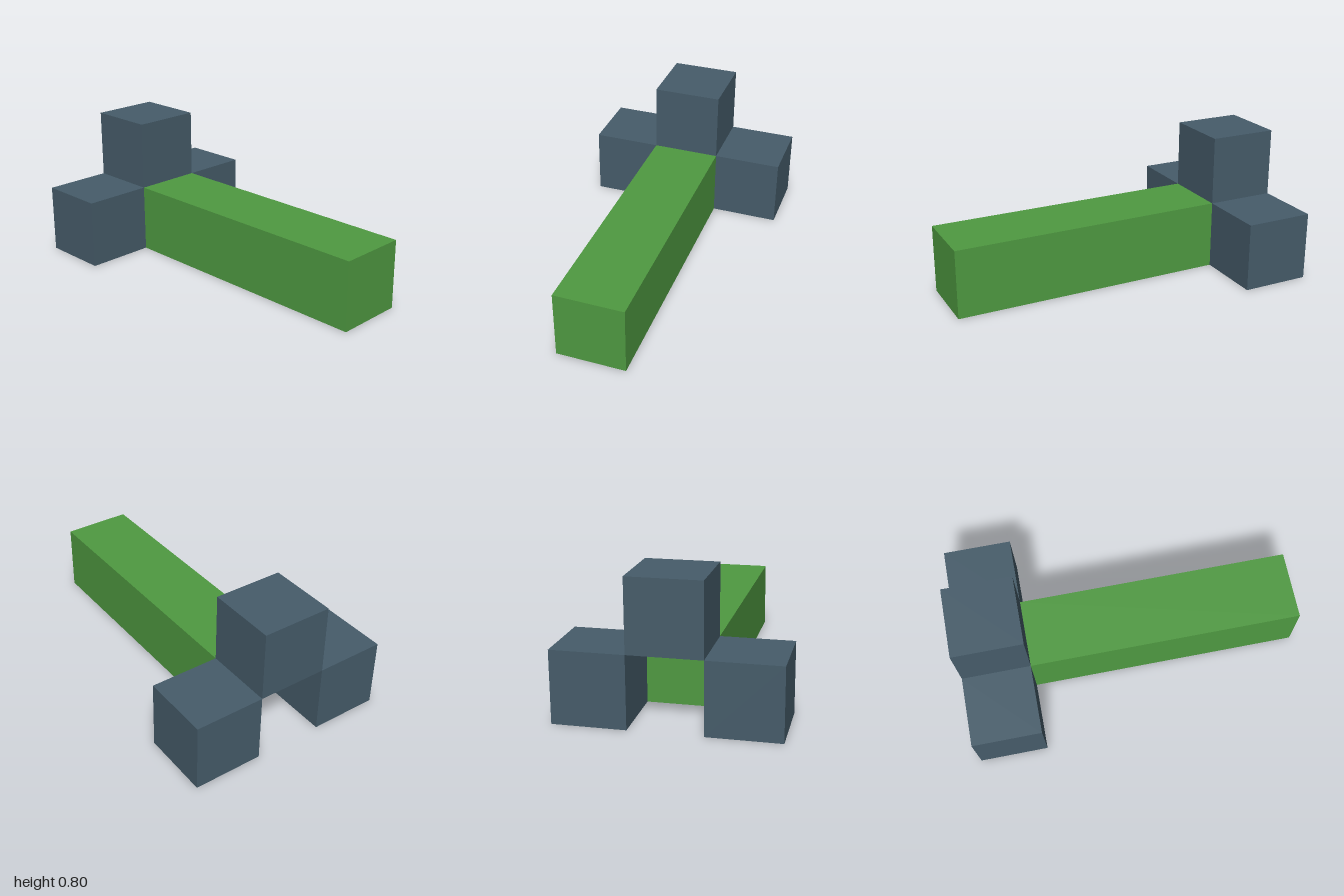
import * as THREE from 'three';

export function createModel() {
  const model = new THREE.Group();
  const green = new THREE.MeshStandardMaterial({ name: 'green', color: 0x4f9a41 });
  const slate = new THREE.MeshStandardMaterial({ name: 'slate', color: 0x465c6a });
  const unit = 0.4; // edge of one cube

  function block(name, material, length, x, y, z) {
    const mesh = new THREE.Mesh(new THREE.BoxGeometry(unit, unit, length), material);
    mesh.name = name;
    mesh.position.set(x, y, z);
    model.add(mesh);
  }

  // Long body, four cubes deep
  block('body', green, 4 * unit, 0, 0.2, 0.2);

  // Tail cubes around an open gap behind the body
  block('topFin', slate, unit, 0, 0.6, -0.8);
  for (const [name, side] of [['leftFin', 1], ['rightFin', -1]]) {
    block(name, slate, unit, side * unit, 0.2, -0.8);
  }

  return model;
}
